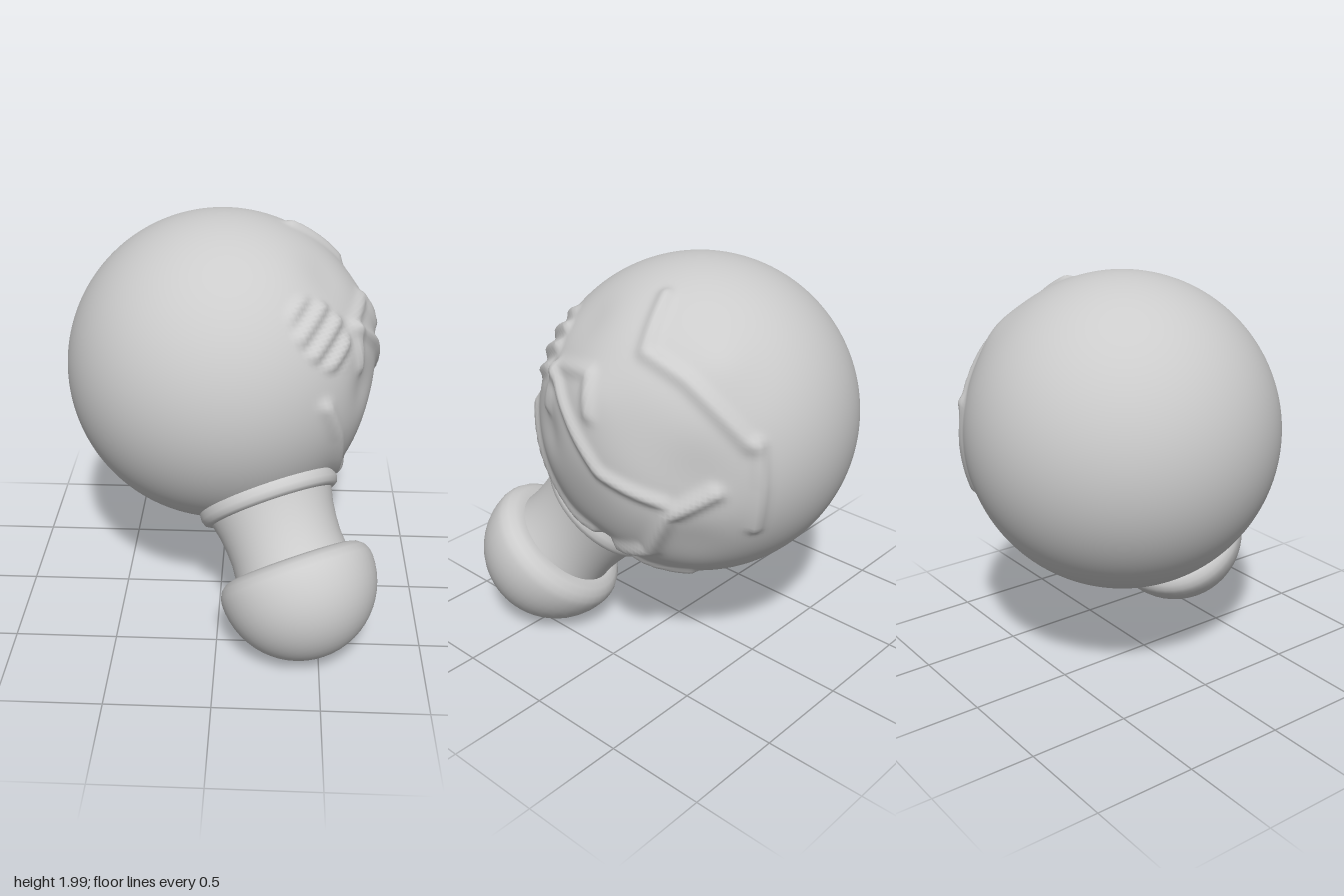
import * as THREE from 'three';
import { mergeVertices } from 'three/addons/utils/BufferGeometryUtils.js';

const R = 0.765;
const CENTER = new THREE.Vector3(0, 1.235, -0.13);
const AXIS = new THREE.Vector3(0.345, -0.748, 0.571).normalize();

// Raised seams on the +x side: width, height, then path points as [z, y]
const RIDGES = [
  [0.035, 0.03, [[0.45, 1.28], [0.38, 1.1], [0.31, 0.96], [0.22, 0.84], [0.0, 0.78]]],
  [0.03, 0.025, [[0.18, 1.56], [0.0, 1.42], [-0.2, 1.21], [-0.5, 1.12]]],
  [0.035, 0.035, [[-0.68, 1.18], [-0.5, 1.05], [-0.36, 0.82], [-0.15, 0.75]]],
  [0.035, 0.025, [[-0.22, 1.92], [-0.3, 1.74], [-0.5, 1.66], [-0.76, 1.4]]],
  [0.03, 0.02, [[0.22, 1.38], [0.16, 1.58], [-0.08, 1.62], [-0.13, 1.46]]],
  [0.03, 0.025, [[-0.78, 1.4], [-0.8, 1.2], [-0.76, 0.98]]],
  [0.03, 0.02, [[-0.1, 0.68], [-0.4, 0.62]]],
];
// Dents and lumps: z, y, radius, height
const LUMPS = [
  [-0.62, 1.25, 0.2, -0.035], [-0.55, 0.9, 0.17, -0.025], [-0.05, 1.05, 0.28, -0.025],
  [-0.05, 0.7, 0.12, -0.035], [-0.1, 1.53, 0.13, 0.015], [-0.4, 1.4, 0.22, -0.02],
  [0.2, 1.28, 0.12, -0.025], [-0.58, 1.72, 0.13, 0.015], [0.1, 1.78, 0.14, -0.015],
];

// Puts a [z, y] point onto the +x half of the ball
function onBall([z, y]) {
  const dz = z - CENTER.z, dy = y - CENTER.y;
  const x = Math.sqrt(Math.max(0.02, R * R - dz * dz - dy * dy));
  return new THREE.Vector3(x, dy, dz).setLength(R);
}

function createBall() {
  const g = new THREE.SphereGeometry(R, 192, 128);
  g.deleteAttribute('uv');
  g.deleteAttribute('normal');
  const ball = mergeVertices(g, 1e-4);
  const ridges = RIDGES.map(([w, h, pts]) => ({ w, h, pts: pts.map(onBall) }));
  const lumps = LUMPS.map(([z, y, r, h]) => ({ r, h, c: onBall([z, y]) }));
  const plaque = new THREE.Vector3(0.47, 0.36, 0.48).setLength(R);
  const p = ball.attributes.position;
  const v = new THREE.Vector3(), near = new THREE.Vector3(), line = new THREE.Line3();
  for (let i = 0; i < p.count; i++) {
    v.fromBufferAttribute(p, i);
    if (v.x < 0.05) continue;
    let d = 0;
    for (const { r, h, c } of lumps) d += h * Math.exp(-v.distanceToSquared(c) / (r * r));
    for (const { w, h, pts } of ridges) {
      let best = 9;
      for (let k = 1; k < pts.length; k++) {
        line.set(pts[k - 1], pts[k]).closestPointToPoint(v, true, near);
        best = Math.min(best, v.distanceTo(near.setLength(R)));
      }
      d += h * Math.exp(-(best * best) / (w * w));
    }
    // Grooved oval plaque
    const s = (v.x - plaque.x - v.y + plaque.y) * 0.707;
    const along = s / 0.21;
    const across = Math.sqrt(Math.max(0, v.distanceToSquared(plaque) - s * s)) / 0.15;
    const edge = 1 - THREE.MathUtils.smoothstep(Math.hypot(along, across), 0.75, 1.1);
    d += edge * (0.012 + 0.014 * Math.sin(s * 2 * Math.PI / 0.1));
    v.setLength(R + d);
    p.setXYZ(i, v.x, v.y, v.z);
  }
  ball.computeVertexNormals();
  return ball;
}

export function createModel() {
  const group = new THREE.Group();
  const material = new THREE.MeshStandardMaterial({ color: 0xcccccc });

  const ball = new THREE.Mesh(createBall(), material);
  ball.name = 'ball';
  ball.position.copy(CENTER);
  group.add(ball);

  // Turned parts: profile points are [radius, distance from the ball's centre]
  const stem = new THREE.Group();
  stem.name = 'stem';
  stem.position.copy(CENTER);
  stem.quaternion.setFromUnitVectors(new THREE.Vector3(0, 1, 0), AXIS);
  group.add(stem);
  const turn = (name, profile) => {
    const pts = profile.map(([r, t]) => new THREE.Vector2(r, t));
    const mesh = new THREE.Mesh(new THREE.LatheGeometry(pts, 48), material);
    mesh.name = name;
    stem.add(mesh);
  };

  turn('collar', [[0.33, 0.64], [0.345, 0.69], [0.347, 0.72], [0.338, 0.745], [0.318, 0.757], [0.29, 0.76]]);
  turn('neck', [[0.315, 0.72], [0.302, 0.77], [0.288, 0.83], [0.279, 0.9], [0.275, 0.97], [0.279, 1.03], [0.285, 1.08]]);

  // Mushroom-shaped knob: rolled rim, then a round dome
  const knob = [[0.25, 1.04], [0.29, 1.035], [0.33, 1.045], [0.36, 1.068], [0.376, 1.1]];
  for (let i = 0; i <= 14; i++) {
    const a = (i / 14) * Math.PI / 2;
    knob.push([0.381 * Math.cos(a), 1.13 + 0.381 * Math.sin(a)]);
  }
  turn('knob', knob);
  return group;
}
